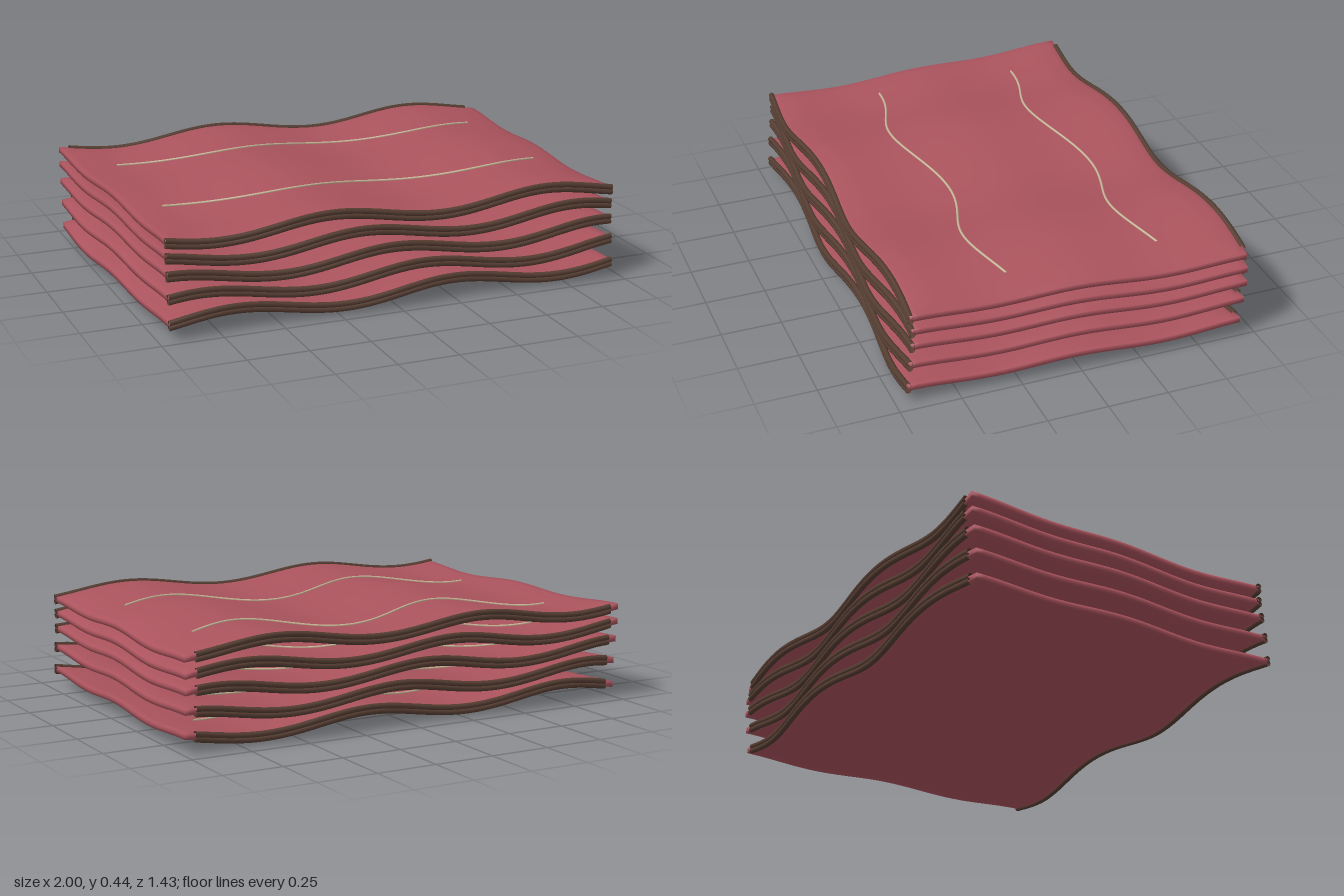
import * as THREE from 'three';
import { mergeVertices } from 'three/addons/utils/BufferGeometryUtils.js';

const LAYERS = 5, HALF_T = 0.02, HALF_Z = 0.69;

const makeMaterial = (name, color) => {
  const material = new THREE.MeshStandardMaterial({ color });
  material.name = name;
  return material;
};
const sheetMat = makeMaterial('dusty red', 0xaa535d);
const edgeMat = makeMaterial('dark brown', 0x553d32);
const threadMat = makeMaterial('pale cream', 0xc8b496);
// Cords and threads are open-ended tubes
edgeMat.side = threadMat.side = THREE.DoubleSide;

// Height of the middle of a sheet: the ripple shifts from layer to layer
const height = (i, x, z) =>
  0.053 + 0.082 * i + 0.025 * Math.cos(6.76 * (x - 0.22 + 0.13 * i)) + 0.008 * Math.cos(9 * z);
// Sideways sway of the long edges and taper of the short ones
const sway = (i, x) => -0.012 * Math.cos(6.9 * (x - 0.4 + 0.13 * i));
const halfWidth = (i, z) => 0.975 - 0.025 * Math.sin(2.2 * z + (i - 2) * 0.15);

// A thin slab, thinner towards its rim, bent along the ripple
function sheetGeometry(i) {
  let g = new THREE.BoxGeometry(2, 2, 2, 60, 2, 40);
  g.deleteAttribute('uv');
  g.deleteAttribute('normal');
  g = mergeVertices(g);
  const p = g.attributes.position;
  for (let k = 0; k < p.count; k++) {
    const u = p.getX(k), v = p.getY(k), w = p.getZ(k);
    const z0 = w * HALF_Z;
    const x = u * halfWidth(i, z0);
    const rim = Math.min(1 - Math.abs(u), (1 - Math.abs(w)) * HALF_Z);
    const thick = HALF_T * (0.6 + 0.4 * THREE.MathUtils.smoothstep(rim, 0, 0.1));
    const z = z0 + sway(i, x) * w * w;
    p.setXYZ(k, x, height(i, x, z) + v * thick, z);
  }
  g.computeVertexNormals();
  return g;
}

// A tube spanning -halfLength to halfLength; rule gives [y, z] for each x
function strand(name, halfLength, radius, material, rule) {
  const points = [];
  for (let k = 0; k <= 40; k++) {
    const x = halfLength * (k / 20 - 1);
    points.push(new THREE.Vector3(x, ...rule(x)));
  }
  const curve = new THREE.CatmullRomCurve3(points);
  const mesh = new THREE.Mesh(new THREE.TubeGeometry(curve, 70, radius, 8), material);
  mesh.name = name;
  return mesh;
}

export function createModel() {
  const model = new THREE.Group();
  model.name = 'stackedSheets';
  for (let i = 0; i < LAYERS; i++) {
    const layer = new THREE.Group();
    layer.name = 'layer' + (i + 1);
    const sheet = new THREE.Mesh(sheetGeometry(i), sheetMat);
    sheet.name = 'sheet';
    layer.add(sheet);

    // Doubled dark cord along the front and back edges
    for (const side of [1, -1]) {
      for (const dy of [-0.01, 0.01]) {
        const name = side > 0 ? 'frontEdgeCord' : 'backEdgeCord';
        layer.add(strand(name, 0.955, 0.012, edgeMat, (x) => {
          const z = side * HALF_Z + sway(i, x);
          return [height(i, x, z) + dy, z];
        }));
      }
    }

    // Two wavy threads lying on the top face
    for (const z0 of [0.265, -0.372]) {
      layer.add(strand('surfaceThread', 0.82, 0.005, threadMat, (x) => {
        const z = z0 - 0.05 * Math.cos(6.95 * (x - 0.1));
        return [height(i, x, z) + HALF_T + 0.002, z];
      }));
    }
    model.add(layer);
  }
  return model;
}
